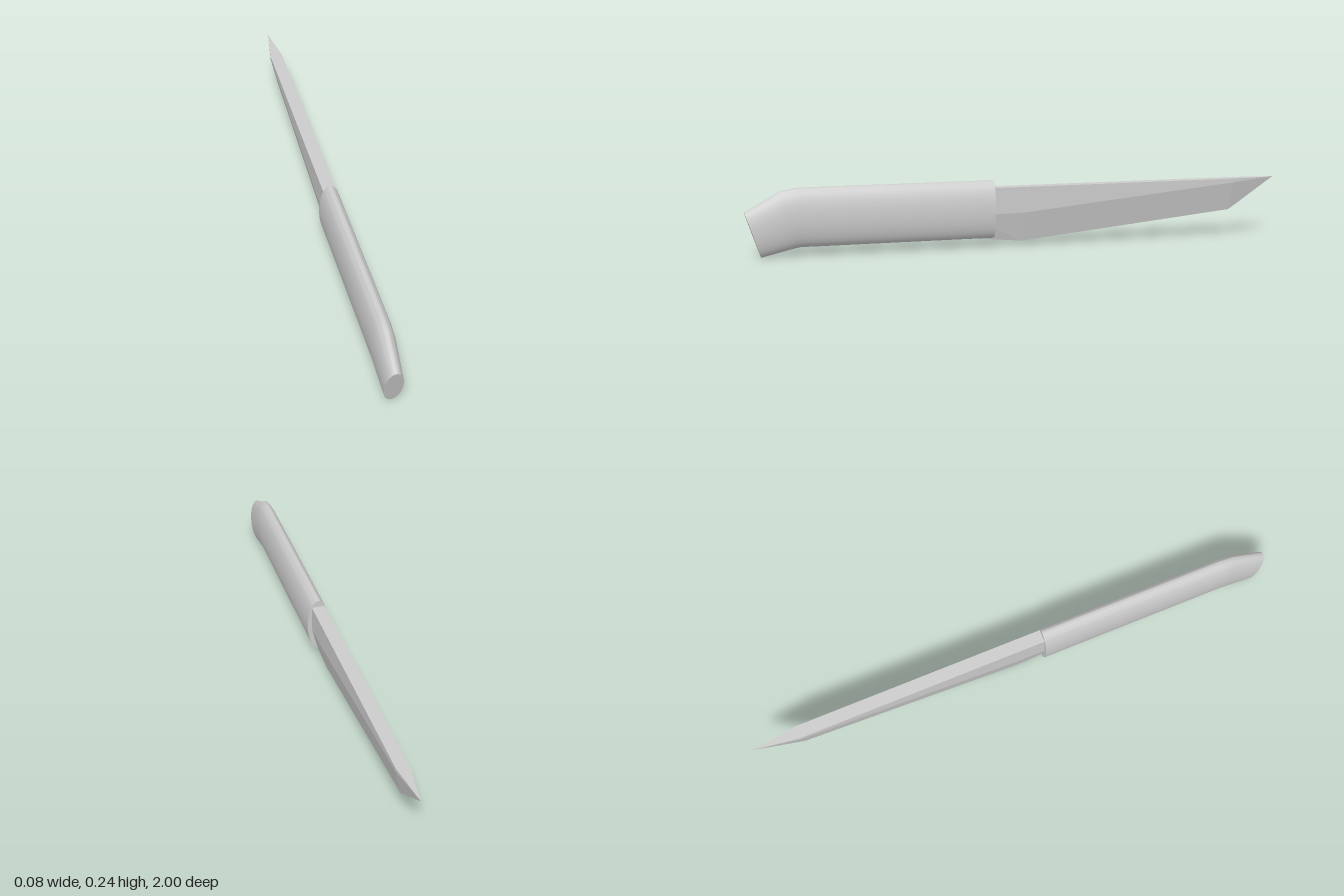
import * as THREE from 'three';
import { toCreasedNormals } from 'three/addons/utils/BufferGeometryUtils.js';

// Skins a list of rings (each counter-clockwise seen from +z, ordered towards +z) and caps both ends
function loft(rings) {
  const pos = [];
  const tri = (a, b, c) => {
    const area = b.clone().sub(a).cross(c.clone().sub(a)).length();
    if (area > 1e-9) for (const p of [a, b, c]) pos.push(p.x, p.y, p.z);
  };
  const n = rings[0].length;
  for (let i = 0; i < rings.length - 1; i++) {
    for (let j = 0; j < n; j++) {
      const k = (j + 1) % n;
      const [a, b, c, d] = [rings[i][j], rings[i][k], rings[i + 1][k], rings[i + 1][j]];
      tri(a, b, c);
      tri(a, c, d);
    }
  }
  const first = rings[0], last = rings[rings.length - 1];
  for (let j = 1; j < n - 1; j++) {
    tri(first[0], first[j + 1], first[j]);
    tri(last[0], last[j], last[j + 1]);
  }
  const geo = new THREE.BufferGeometry();
  geo.setAttribute('position', new THREE.Float32BufferAttribute(pos, 3));
  geo.computeVertexNormals();
  return geo;
}

// Ellipse leaning between its top and bottom points, given as [z, y]
function ellipse([topZ, topY], [botZ, botY], halfWidth, sides = 40) {
  return Array.from({ length: sides }, (_, i) => {
    const a = (i / sides) * Math.PI * 2, s = Math.sin(a) / 2;
    return new THREE.Vector3(
      Math.cos(a) * halfWidth,
      (topY + botY) / 2 + s * (topY - botY),
      (topZ + botZ) / 2 + s * (topZ - botZ)
    );
  });
}

// Blade section: flat spine, upright sides down to the ridge, then a bevel to the edge
function bladeSection(z, halfWidth, spineY, ridgeY, edgeY, edgeZ = z) {
  return [
    new THREE.Vector3(halfWidth, spineY, z),
    new THREE.Vector3(-halfWidth, spineY, z),
    new THREE.Vector3(-halfWidth, ridgeY, z),
    new THREE.Vector3(0, edgeY, edgeZ),
    new THREE.Vector3(halfWidth, ridgeY, z),
  ];
}

export function createModel() {
  const knife = new THREE.Group();
  knife.name = 'knife';

  // Oval handle with a drooping butt
  const handleGeo = loft([
    ellipse([0.105, 0.243], [0.105, 0.031], 0.04),
    ellipse([0.81, 0.243], [0.805, 0.031], 0.04),
    ellipse([0.87, 0.234], [0.82, 0.029], 0.039),
    ellipse([1.0, 0.163], [0.945, 0.0], 0.032),
  ]);
  const handle = new THREE.Mesh(
    toCreasedNormals(handleGeo, 0.6),
    new THREE.MeshStandardMaterial({ color: 0xcccccc })
  );
  handle.name = 'handle';

  // Straight-backed blade, its root set into the handle
  const blade = new THREE.Mesh(
    loft([
      bladeSection(-1, 0, 0.217, 0.217, 0.217),
      bladeSection(-0.83, 0.024, 0.217, 0.203, 0.097, -0.82),
      bladeSection(0, 0.024, 0.217, 0.122, 0.015),
      bladeSection(0.2, 0.024, 0.217, 0.12, 0.034),
    ]),
    new THREE.MeshStandardMaterial({ color: 0xcccccc, flatShading: true })
  );
  blade.name = 'blade';

  knife.add(handle, blade);
  return knife;
}
